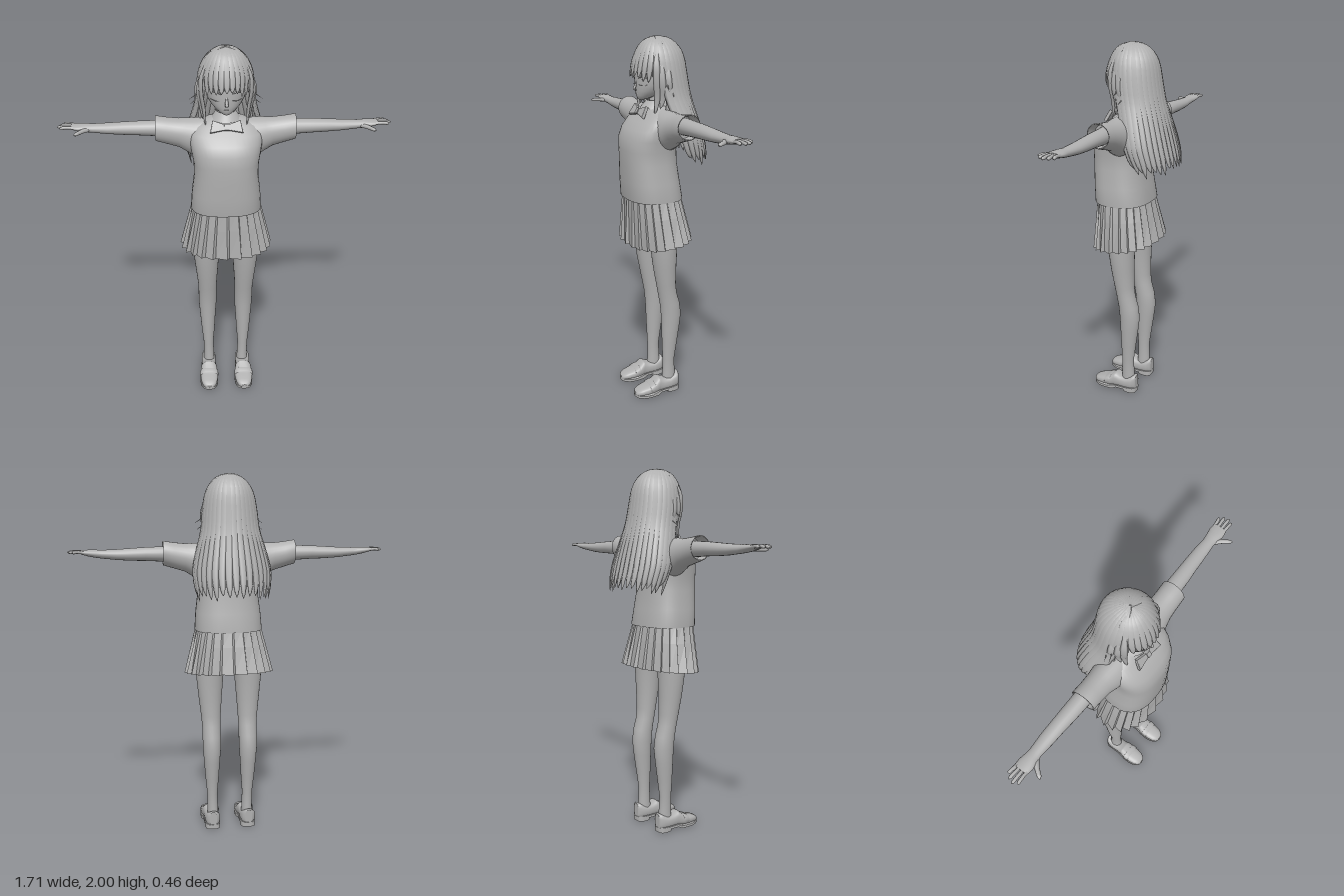
import * as THREE from 'three';

const grey = new THREE.MeshStandardMaterial({ color: 0xb0b0b0, side: THREE.DoubleSide });
grey.name = 'plain grey';
const V = (x, y, z) => new THREE.Vector3(x, y, z);
const sp = (v, p) => Math.sign(v) * Math.pow(Math.abs(v), 2 / p);

// Skin a list of point rings; closed rings get end caps and outward winding
function loft(rings, { closed = true, caps = closed, flat = false } = {}) {
  const n = rings[0].length, pos = [], idx = [];
  rings.forEach(r => r.forEach(p => pos.push(p.x, p.y, p.z)));
  const m = closed ? n : n - 1;
  for (let i = 0; i < rings.length - 1; i++) for (let k = 0; k < m; k++) {
    const a = i * n + k, b = i * n + (k + 1) % n;
    idx.push(a, b, b + n, a, b + n, a + n);
  }
  if (caps) [rings[0], rings[rings.length - 1]].forEach((r, e) => {
    const base = pos.length / 3, c = V(0, 0, 0);
    r.forEach(p => { pos.push(p.x, p.y, p.z); c.addScaledVector(p, 1 / n); });
    pos.push(c.x, c.y, c.z);
    for (let k = 0; k < n; k++) {
      const a = base + k, b = base + (k + 1) % n;
      if (e) idx.push(a, b, base + n); else idx.push(b, a, base + n);
    }
  });
  const at = i => V(pos[i * 3], pos[i * 3 + 1], pos[i * 3 + 2]);
  let vol = 0;
  for (let i = 0; i < idx.length; i += 3) vol += at(idx[i]).dot(at(idx[i + 1]).cross(at(idx[i + 2])));
  if (vol < 0) idx.reverse();
  let g = new THREE.BufferGeometry();
  g.setAttribute('position', new THREE.Float32BufferAttribute(pos, 3));
  g.setIndex(idx);
  if (flat) g = g.toNonIndexed();
  g.computeVertexNormals();
  return g;
}

// Rings across each axis, as superellipses of power p
const ring = (n, f) => Array.from({ length: n }, (_, k) => f(k / n * Math.PI * 2));
const ringY = (y, cx, rx, zf, zb, p = 2, n = 32) => ring(n, a =>
  V(cx + rx * sp(Math.cos(a), p), y, (zf + zb) / 2 + (zf - zb) / 2 * sp(Math.sin(a), p)));
const ringX = (x, cy, ry, cz, rz, n = 20) => ring(n, a => V(x, cy + ry * Math.cos(a), cz + rz * Math.sin(a)));
const ringZ = (z, cx, rx, y0, y1, p = 2.6, n = 24) => ring(n, a =>
  V(cx + rx * sp(Math.cos(a), p), (y0 + y1) / 2 + (y1 - y0) / 2 * sp(Math.sin(a), p), z));

// Tapering lock of hair, or finger, swept along a path
function lock(path, out, w, t, width, steps = 14, sides = 6) {
  const c = new THREE.CatmullRomCurve3(path);
  return loft(Array.from({ length: steps + 1 }, (_, i) => {
    const u = i / steps, p = c.getPoint(u), T = c.getTangent(u);
    const S = T.clone().cross(out).normalize(), N = S.clone().cross(T), f = width(u);
    return ring(sides, a => p.clone().addScaledVector(S, Math.cos(a) * w * f).addScaledVector(N, Math.sin(a) * t * f));
  }));
}
const hairWidth = u => u < 0.7 ? 0.35 + 0.65 * Math.min(1, u / 0.3) : 0.06 + 0.94 * Math.sqrt((1 - u) / 0.3);
const fingerWidth = u => u > 0.85 ? Math.sqrt(Math.max(0.05, 1 - ((u - 0.85) / 0.15) ** 2)) : 1;

export function createModel() {
  const root = new THREE.Group();
  const add = (name, g, parent = root) => {
    const m = new THREE.Mesh(g, grey);
    m.name = name;
    parent.add(m);
    return m;
  };
  const group = name => { const g = new THREE.Group(); g.name = name; root.add(g); return g; };
  let seed = 7;
  const rnd = () => (seed = (seed * 16807) % 2147483647) / 2147483647;

  // Knitted top
  add('top', loft([
    [1.175, .17, .21, -.06], [1.155, .178, .218, -.068], [1.155, .187, .226, -.076], [1.25, .18, .231, -.06],
    [1.35, .167, .235, -.046], [1.42, .168, .235, -.042], [1.48, .178, .231, -.04], [1.53, .185, .207, -.036],
    [1.57, .185, .17, -.03], [1.605, .165, .13, -.024], [1.635, .1, .1, -.015], [1.65, .05, .08, -.005],
  ].map(([y, rx, f, b]) => ringY(y, 0, rx, f, b, 2.5, 40))));

  // Pleated skirt, deeper at the front
  const pleats = 24, skirtRow = t => {
    const r = [];
    for (let j = 0; j < pleats; j++) for (const [d, k] of [[0, 1], [0.86, 1 - 0.03 - 0.07 * t]]) {
      const a = (j + d) / pleats * Math.PI * 2, s = sp(Math.sin(a), 2.3);
      const zf = .218 + .014 * t, zb = -.068 - .057 * t;
      r.push(V((.182 + .068 * t) * k * sp(Math.cos(a), 2.3), 1.175 - t * (.26 + .017 * s), (zf + zb) / 2 + (zf - zb) / 2 * k * s));
    }
    return r;
  };
  add('skirt', loft([0, .4, 1].map(skirtRow), { caps: false, flat: true }));
  add('hips', loft([[.99, .1], [1.02, .15], [1.1, .165], [1.18, .165]].map(([y, r]) => ringY(y, 0, r, .14, -.05))));

  for (const s of [1, -1]) {
    const side = s > 0 ? 'left' : 'right';
    const flip = rings => rings.map(r => r.map(p => V(p.x * s, p.y, p.z)));

    // Short sleeve with an open cuff
    add(side + 'Sleeve', loft(flip([
      [.1, 1.53, .105, .045, .085], [.16, 1.532, .101, .043, .083], [.2, 1.543, .088, .041, .075], [.24, 1.555, .075, .04, .068],
      [.3, 1.567, .069, .04, .065], [.358, 1.58, .065, .04, .065], [.358, 1.58, .058, .04, .058], [.3, 1.572, .055, .04, .055],
    ].map(q => ringX(...q, 28)))));

    // Arm, palm and fingers
    add(side + 'Arm', loft(flip([
      [.26, 1.575, .045, .035, .046], [.36, 1.576, .04, .028, .044], [.45, 1.577, .036, .026, .042], [.52, 1.576, .033, .023, .039],
      [.6, 1.576, .028, .021, .037], [.68, 1.579, .022, .021, .031], [.71, 1.582, .021, .022, .034],
      [.75, 1.586, .017, .023, .041], [.785, 1.59, .011, .022, .037],
    ].map(q => ringX(...q)))));
    const hand = group(side + 'Fingers');
    [[-.006, .828, -.014], [.012, .848, .006], [.031, .856, .03], [.049, .842, .053]].forEach(([z, tip, tz]) =>
      add('finger', lock([V(s * .77, 1.589, z), V(s * .81, 1.593, (z + tz) / 2), V(s * tip, 1.589, tz)], V(0, 1, 0), .0085, .0085, fingerWidth, 10, 8), hand));
    add('thumb', lock([V(s * .695, 1.578, .035), V(s * .73, 1.578, .07), V(s * .763, 1.575, .115)], V(0, 1, 0), .013, .011, u => fingerWidth(u) * (1.15 - .4 * u), 10, 8), hand);

    // Leg
    add(side + 'Leg', loft([
      [.05, .1, .032, .06, -.022], [.12, .1, .03, .053, -.019], [.2, .102, .029, .053, -.016], [.3, .103, .038, .057, -.03],
      [.4, .104, .045, .06, -.044], [.48, .104, .051, .063, -.053], [.55, .104, .052, .07, -.043], [.61, .104, .052, .081, -.025],
      [.67, .105, .056, .092, -.018], [.77, .107, .065, .11, -.018], [.9, .108, .077, .127, -.022], [1.0, .1, .085, .132, -.03], [1.08, .09, .085, .132, -.035],
    ].map(([y, x, rx, f, b]) => ringY(y, s * x, rx, f, b, 2, 24))));

    // Loafer: upper, sole, heel and strap
    const shoe = group(side + 'Shoe'), cx = s * .103;
    add('upper', loft([
      [.231, .016, .014, .034], [.222, .032, .012, .044], [.2, .044, .012, .054], [.165, .051, .012, .063], [.125, .052, .012, .076],
      [.095, .047, .014, .102], [.085, .043, .014, .1], [.06, .042, .016, .088], [.02, .043, .016, .086], [-.015, .042, .016, .1], [-.032, .032, .016, .11], [-.038, .02, .02, .104],
    ].map(([z, w, y0, y1]) => ringZ(z, cx, w, y0, y1))));
    const outline = new THREE.Shape(new THREE.SplineCurve([
      [0, .234], [.032, .222], [.05, .18], [.052, .13], [.044, .07], [.043, 0], [.03, -.033], [0, -.04],
      [-.03, -.033], [-.043, 0], [-.044, .07], [-.052, .13], [-.05, .18], [-.032, .222], [0, .234],
    ].map(p => new THREE.Vector2(...p))).getPoints(40));
    const sole = new THREE.ExtrudeGeometry(outline, { depth: .014, bevelEnabled: false }).rotateX(Math.PI / 2);
    const sp3 = sole.attributes.position;
    for (let i = 0; i < sp3.count; i++) {
      const z = sp3.getZ(i);
      sp3.setY(i, sp3.getY(i) + .016 + (z < .09 ? .012 : 0) + Math.max(0, z - .19) * .12);
    }
    sole.computeVertexNormals();
    add('sole', sole, shoe).position.x = cx;
    add('heel', loft([0, .03].map(y => ringY(y, cx, .042, .045, -.038, 3))), shoe);
    add('strap', loft([[.152, .0525, .064], [.15, .0545, .07], [.125, .0545, .08], [.12, .0525, .078]].map(([z, w, y]) => ringZ(z, cx, w, .02, y))), shoe);
    shoe.add(root.children.find(c => c.name === 'upper'));

    // Eye: thin lashes, lower lid and brow following the face
    const face = group(side + 'EyeLines');
    [[1.79, .01, .004], [1.758, -.004, .0015], [1.82, .008, .002]].forEach(([y, lift, r]) =>
      add('lidLine', lock([V(s * .028, y, .157), V(s * .052, y + lift, .146), V(s * .077, y, .122)], V(0, 0, 1), r, r, u => .3 + Math.sin(u * Math.PI)), face));
  }

  // Neck, head and small features
  add('neck', loft([[1.59, .055, .1, -.02], [1.63, .044, .08, -.01], [1.73, .042, .075, -.015]].map(([y, r, f, b]) => ringY(y, 0, r, f, b))));
  add('head', loft([
    [1.678, .012, .14, .11], [1.684, .026, .148, .08], [1.7, .05, .154, .04], [1.725, .076, .157, 0], [1.755, .095, .157, -.04],
    [1.79, .105, .157, -.07], [1.86, .11, .155, -.085], [1.92, .09, .125, -.07], [1.96, .05, .09, -.02],
  ].map(([y, r, f, b]) => ringY(y, 0, r, f, b))));
  add('nose', lock([V(0, 1.775, .153), V(0, 1.748, .162), V(0, 1.733, .169), V(0, 1.727, .153)], V(0, 0, 1), .009, .006, u => .4 + .6 * Math.sin(u * Math.PI)));
  add('mouth', lock([V(-.016, 1.709, .151), V(0, 1.708, .156), V(.016, 1.709, .151)], V(0, 0, 1), .002, .002, u => .3 + Math.sin(u * Math.PI), 8));

  // Shirt collar and bow
  add('collar', loft([[1.67, .046, .088, -.015], [1.672, .05, .094, -.02], [1.632, .078, .13, -.03]].map(([y, r, f, b]) => ringY(y, 0, r, f, b)), { caps: false }));
  const bow = group('bow');
  for (const s of [1, -1]) {
    const wing = new THREE.Shape([[.008, .01], [.068, .032], [.08, -.026], [.008, -.012]].map(([x, y]) => new THREE.Vector2(s * x, y)));
    add('bowWing', new THREE.ExtrudeGeometry(wing, { depth: .01, bevelSize: .003, bevelThickness: .004, bevelSegments: 2 }), bow);
  }
  add('bowKnot', new THREE.BoxGeometry(.024, .03, .024), bow).position.z = .006;
  bow.position.set(0, 1.614, .14);
  bow.rotation.x = -.5;

  // Hair: cap, long back curtain and overlapping locks
  const hair = group('hair');
  const levels = [ // y, half width, centre z, back z
    [1.993, .004, .04, .035], [1.98, .05, .04, -.025], [1.945, .092, .035, -.068], [1.89, .122, .03, -.096], [1.8, .139, .02, -.112],
    [1.7, .15, 0, -.13], [1.6, .178, -.03, -.158], [1.5, .202, -.06, -.189], [1.42, .2, -.085, -.212], [1.35, .188, -.105, -.222],
  ];
  const backPoint = ([y, rx, cz, zb], a) => V(rx * Math.sin(a), y, cz - (cz - zb) * Math.cos(a));
  add('hairCap', loft([[1.99, .015, .055, .02], [1.978, .048, .09, -.02], [1.945, .088, .124, -.062], [1.9, .113, .148, -.09], [1.85, .122, .158, -.1]]
    .map(([y, r, f, b]) => ringY(y, 0, r, f, b))), hair);
  add('hairCurtain', loft(levels.slice(2, 9).map(l => Array.from({ length: 33 }, (_, k) => backPoint(l, (k / 32 - .5) * 3.5))), { closed: false }), hair);
  for (let i = 0; i < 21; i++) {
    const a = (i / 20 - .5) * 3.7, drop = rnd() * .05;
    const path = levels.map((l, k) => backPoint(k === 9 ? [l[0] - .015 + drop, ...l.slice(1)] : l, a));
    add('backLock', lock(path, V(Math.sin(a), .25, -Math.cos(a)), .024, .01, hairWidth, 22), hair);
  }
  // Fringe
  for (let i = 0; i < 13; i++) {
    const a = (i / 12 - .5) * 2.5, s = Math.sin(a), c = Math.cos(a), tip = 1.785 - .03 * Math.abs(s) + rnd() * .025;
    add('fringeLock', lock([V(0, 1.993, .04), V(.052 * s, 1.978, .04 + .05 * c), V(.094 * s, 1.945, .035 + .092 * c), V(.122 * s, 1.89, .03 + .125 * c),
      V(.13 * s, 1.84, .03 + .141 * c), V(.127 * s, tip, .03 + .152 * c)], V(s, .25, c), .02, .008, hairWidth), hair);
  }
  // Side locks framing the face, with small outward wisps
  for (const s of [1, -1]) {
    [[.112, .09, 1.61], [.125, .065, 1.64], [.135, .035, 1.58]].forEach(([x, z, y]) =>
      add('sideLock', lock([V(s * .09, 1.94, z * .9), V(s * .122, 1.86, z + .01), V(s * (x + .012), 1.78, z + .01), V(s * x, 1.7, z), V(s * (x - .008), y, z + .012)],
        V(s, 0, .5), .018, .008, hairWidth), hair));
    [[1.735, .185, .05], [1.7, .18, .02]].forEach(([y, x, z]) =>
      add('wisp', lock([V(s * .132, y + .09, z), V(s * .145, y + .03, z), V(s * x, y, z + .01)], V(0, 0, 1), .006, .006, u => 1.05 - u, 8), hair));
  }
  return root;
}
